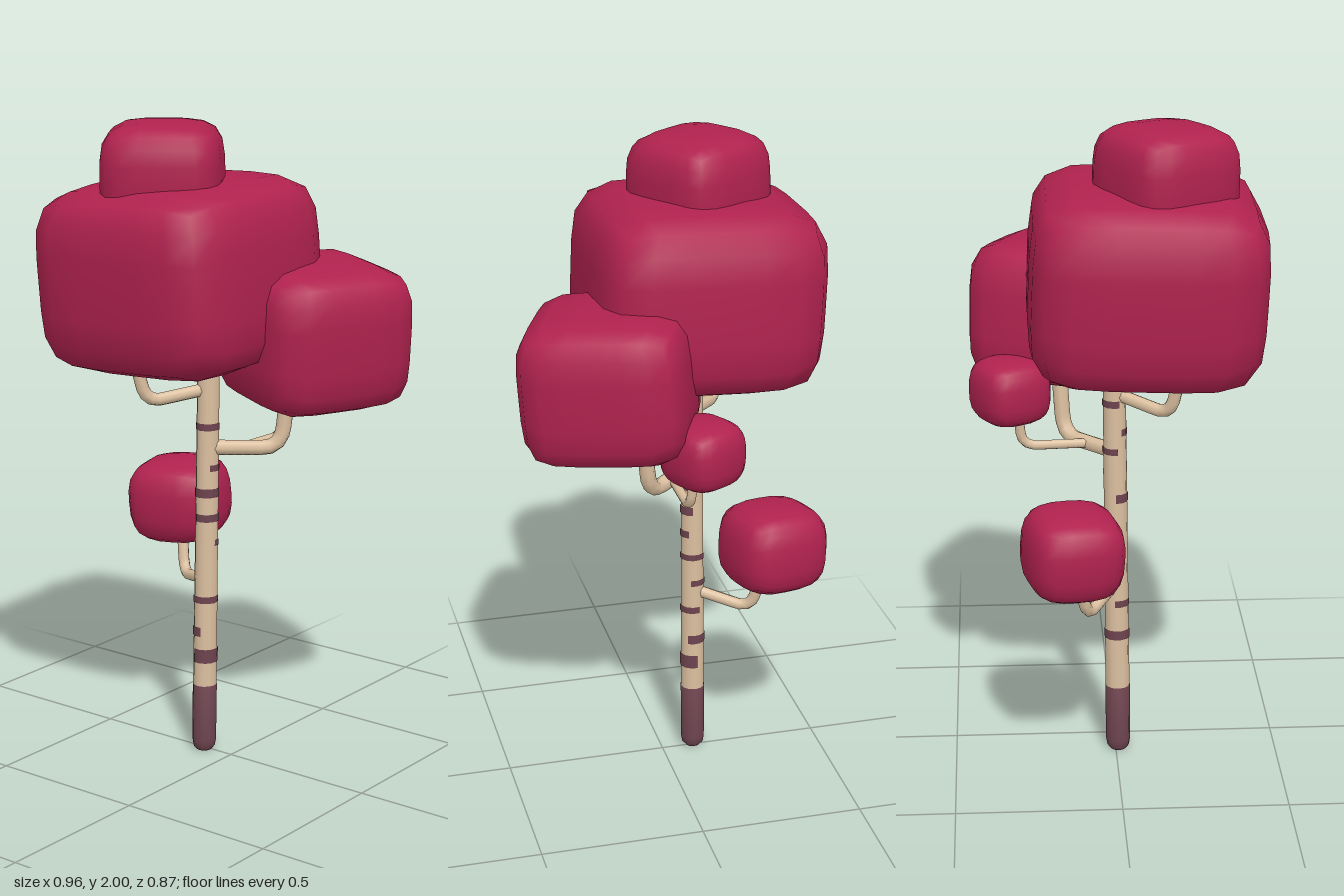
import * as THREE from 'three';
import { mergeVertices } from 'three/addons/utils/BufferGeometryUtils.js';

const mat = (name, color) => Object.assign(new THREE.MeshStandardMaterial({ color }), { name });

export function createModel() {
  const group = new THREE.Group();
  group.name = 'tree';
  const foliage = mat('crimson foliage', 0xb0224f);
  const wood = mat('pale wood', 0xdcc0a0);
  const bark = mat('dark bark', 0x6e444f);

  const add = (name, geometry, material, parent = group) => {
    const mesh = new THREE.Mesh(geometry, material);
    mesh.name = name;
    parent.add(mesh);
    return mesh;
  };

  // Puffy block: a cube grid pushed onto a rounded, bulging superellipsoid
  const puff = (name, center, half, power, rotation) => {
    let g = new THREE.BoxGeometry(2, 2, 2, 6, 6, 6);
    g.deleteAttribute('uv');
    g.deleteAttribute('normal');
    g = mergeVertices(g, 1e-4);
    const p = g.attributes.position;
    const v = new THREE.Vector3();
    for (let i = 0; i < p.count; i++) {
      v.fromBufferAttribute(p, i);
      const sum = [v.x, v.y, v.z].reduce((s, c) => s + Math.abs(c) ** power, 0);
      v.multiplyScalar(sum ** (-1 / power));
      p.setXYZ(i, v.x * half[0], v.y * half[1], v.z * half[2]);
    }
    g.computeVertexNormals();
    const mesh = add(name, g, foliage);
    mesh.position.set(...center);
    mesh.rotation.set(...rotation, 'YXZ');
  };

  // Foliage clumps
  puff('mainCrown', [-0.125, 1.545, 0.085], [0.345, 0.28, 0.345], 5, [0.04, 0, 0.05]);
  puff('topCrown', [-0.145, 1.835, 0.14], [0.18, 0.165, 0.18], 4, [0.03, 0.57, 0]);
  puff('sideCrown', [0.195, 1.365, -0.15], [0.245, 0.215, 0.245], 5, [0, -0.41, -0.07]);
  puff('lowerLeafBall', [-0.312, 0.76, -0.14], [0.15, 0.133, 0.145], 3.2, [0.05, 0.25, 0.06]);
  puff('backLeafBall', [-0.04, 1.175, -0.315], [0.11, 0.1, 0.11], 3.2, [0, 0.5, 0]);

  // Trunk, leaning slightly, with a rounded dark foot
  const trunk = new THREE.Group();
  trunk.name = 'trunk';
  trunk.position.set(-0.102, 0, 0.008);
  group.add(trunk);
  const lean = (g, y0) => {
    const p = g.attributes.position;
    for (let i = 0; i < p.count; i++) {
      const y = p.getY(i) + y0;
      p.setXYZ(i, p.getX(i) + 0.01 * y, y, p.getZ(i) - 0.01 * y);
    }
    return g;
  };
  const radius = (y) => 0.038 - 0.003 * y;
  add('trunkWood', lean(new THREE.CylinderGeometry(radius(1.4), radius(0.22), 1.18, 12), 0.81), wood, trunk);
  const foot = [[0, 0], [0.024, 0], [0.034, 0.012], [0.038, 0.035], [radius(0.22) + 0.001, 0.22], [0, 0.22]];
  add('trunkFoot', lean(new THREE.LatheGeometry(foot.map((q) => new THREE.Vector2(...q)), 12), 0), bark, trunk);

  // Bark marks: height, thickness, start and end angle in degrees (0 = front)
  const marks = [
    [0.32, 0.045, -20, 190], [0.4, 0.03, 145, 375], [0.505, 0.022, -100, 200],
    [0.69, 0.02, 80, 230], [0.77, 0.024, -20, 150], [0.85, 0.028, -90, 170],
    [0.93, 0.02, 50, 200], [1.06, 0.022, -60, 170], [1.0, 0.02, 170, 280],
    [1.15, 0.022, 150, 290], [0.6, 0.02, 160, 250],
  ];
  for (const [y, h, a, b] of marks) {
    const r = radius(y) + 0.0025;
    const rad = Math.PI / 180;
    const sides = Math.max(3, Math.round((b - a) / 30));
    add('barkMark', lean(new THREE.CylinderGeometry(r, r, h, sides, 1, true, a * rad, (b - a) * rad), y), bark, trunk);
  }

  // Branches: out from the trunk, a tight bend, then up into the foliage
  const branch = (name, r, points) => {
    const [start, knee, tip] = points.map((q) => new THREE.Vector3(...q));
    const path = new THREE.CurvePath();
    const before = knee.clone().lerp(start, 0.25);
    const after = knee.clone().lerp(tip, 0.3);
    path.add(new THREE.LineCurve3(start, before));
    path.add(new THREE.QuadraticBezierCurve3(before, knee, after));
    path.add(new THREE.LineCurve3(after, tip));
    add(name, new THREE.TubeGeometry(path, 16, r, 8), wood);
  };
  branch('lowerBranch', 0.018, [[-0.1, 0.565, 0], [-0.26, 0.525, -0.095], [-0.295, 0.7, -0.125]]);
  branch('sideBranch', 0.024, [[-0.09, 0.99, 0], [0.08, 0.985, -0.15], [0.1, 1.22, -0.165]]);
  branch('backBranch', 0.015, [[-0.01, 0.99, -0.08], [-0.012, 0.985, -0.28], [-0.025, 1.13, -0.295]]);
  branch('frontBranch', 0.02, [[-0.09, 1.175, 0], [-0.205, 1.145, 0.155], [-0.23, 1.32, 0.19]]);

  return group;
}
